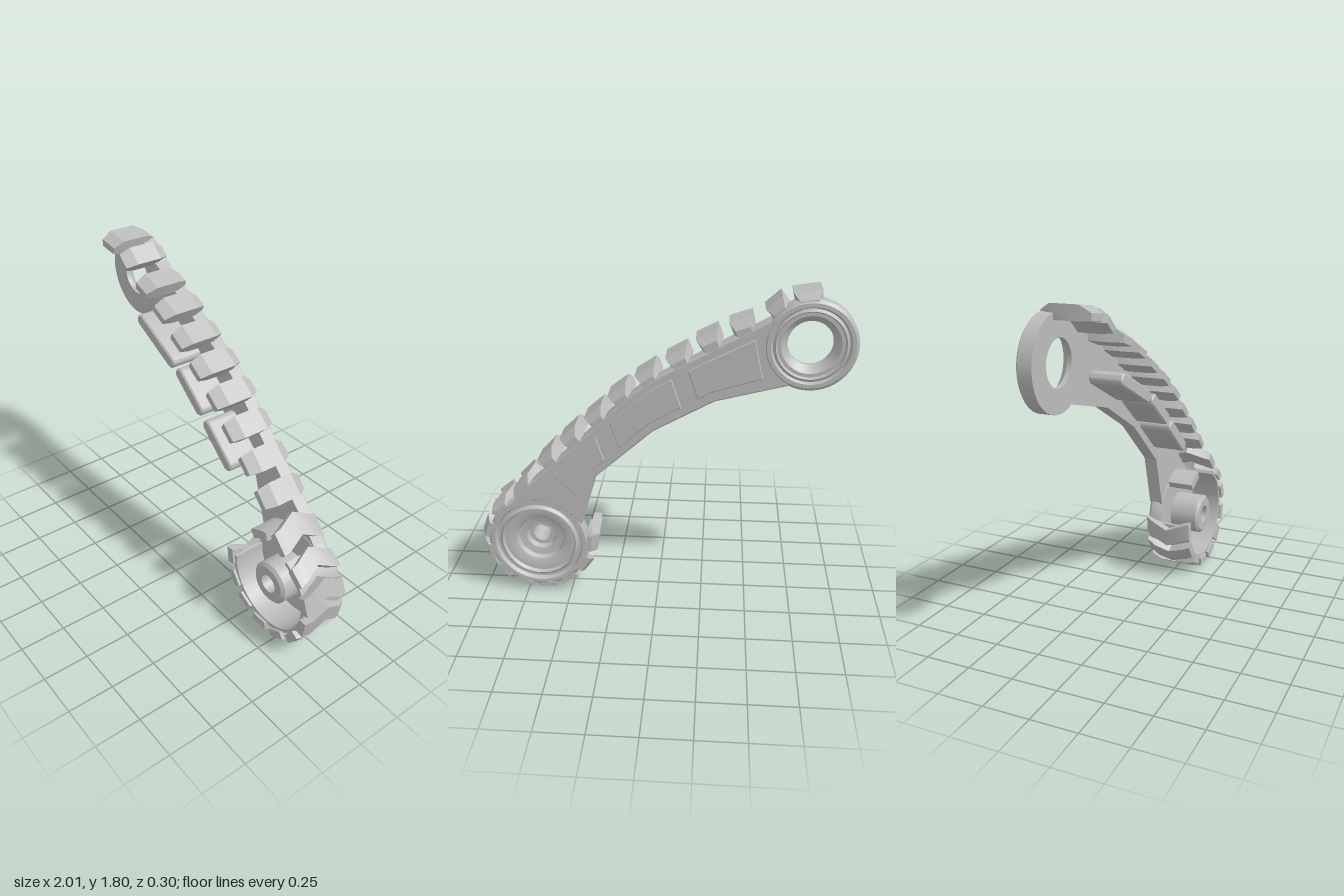
import * as THREE from 'three';
import { toCreasedNormals } from 'three/addons/utils/BufferGeometryUtils.js';

const grey = new THREE.MeshStandardMaterial({ color: 0xbcbcbc });
grey.name = 'grey';
const rad = THREE.MathUtils.degToRad;
const V = (x, y) => new THREE.Vector2(x, y);

function part(parent, name, geo, x = 0, y = 0, z = 0, turn = 0) {
  const mesh = new THREE.Mesh(toCreasedNormals(geo, 0.5), grey);
  mesh.name = name;
  mesh.position.set(x, y, z);
  mesh.rotation.z = turn;
  parent.add(mesh);
  return mesh;
}

function slab(shape, depth, bevel = 0) {
  return new THREE.ExtrudeGeometry(shape, {
    depth: depth - 2 * bevel, curveSegments: 24, bevelEnabled: bevel > 0,
    bevelSize: bevel, bevelThickness: bevel, bevelOffset: -bevel, bevelSegments: 1,
  }).translate(0, 0, bevel);
}

// closed (radius, z) profile turned about the z axis
function turned(profile) {
  const pts = [...profile, profile[0]].map(([r, z]) => V(r, z));
  return new THREE.LatheGeometry(pts, 56).rotateX(Math.PI / 2);
}

// block lofted along z; station = [z, half length, shift along length, bottom, top]
function loft(stations) {
  const rings = stations.map(([z, h, s, r0, r1]) =>
    [[s - h * 0.9, r0, z], [s + h * 0.9, r0, z], [s + h, r1, z], [s - h, r1, z]]);
  const pos = [];
  const quad = (a, b, c, d) => pos.push(...a, ...b, ...c, ...a, ...c, ...d);
  for (let i = 0; i < rings.length - 1; i++) {
    for (let j = 0; j < 4; j++) {
      const k = (j + 1) % 4;
      quad(rings[i][j], rings[i][k], rings[i + 1][k], rings[i + 1][j]);
    }
  }
  const first = rings[0], last = rings[rings.length - 1];
  quad(last[0], last[1], last[2], last[3]);
  quad(first[3], first[2], first[1], first[0]);
  const geo = new THREE.BufferGeometry();
  geo.setAttribute('position', new THREE.Float32BufferAttribute(pos, 3));
  geo.computeVertexNormals();
  return geo;
}

const straightTread = () => loft([
  [-0.138, 0.04, 0, -0.04, 0.0], [-0.078, 0.062, 0, -0.04, 0.033],
  [0.068, 0.062, 0, -0.04, 0.033], [0.126, 0.052, 0, -0.036, 0.0],
]);

const chevronTread = (h) => loft([
  [-0.135, h, 0.035, -0.028, 0.0], [-0.08, h, 0.018, -0.028, 0.027],
  [0, h, -0.025, -0.028, 0.027], [0.1, h, 0.022, -0.028, 0.027],
  [0.14, h, 0.035, -0.028, 0.015],
]);

export function createModel() {
  const root = new THREE.Group();
  root.name = 'treadedArm';
  const arm = new THREE.Group();
  arm.name = 'armAssembly';
  arm.rotation.y = -0.009;
  root.add(arm);
  const wx = 0.67, wy = 0.33;

  // curved arm plate between the ring and the wheel
  const top = new THREE.SplineCurve([
    V(-0.57, 1.66), V(-0.22, 1.465), V(0.1, 1.27), V(0.4, 0.98), V(0.72, 0.68)]);
  const bottom = [V(-0.68, 1.32), V(-0.3, 1.22), V(0.02, 1.04), V(0.33, 0.76), V(0.42, 0.45)];
  const outline = [...top.getPoints(20), V(0.9, 0.46)];
  for (let i = 1; i < 10; i++) {
    const a = rad(29 + i * 12.5);
    outline.push(V(wx + 0.265 * Math.cos(a), wy + 0.265 * Math.sin(a)));
  }
  outline.push(...[...bottom].reverse(), V(-0.56, 1.5));
  part(arm, 'armPlate', slab(new THREE.Shape(outline), 0.06), 0, 0, -0.12);

  // back frame with three recessed panels
  const low = (t) => {
    const i = Math.min(3, Math.floor(t * 4));
    return bottom[i].clone().lerp(bottom[i + 1], t * 4 - i);
  };
  const across = (t, k) => top.getPoint(t).lerp(low(t), k);
  const frame = new THREE.Shape(outline);
  const panels = [[0.07, 0.32], [0.36, 0.65], [0.69, 0.91]];
  const panelPath = (t0, t1, k0, k1) => {
    const pts = [];
    for (let i = 0; i <= 4; i++) pts.push(across(t0 + (t1 - t0) * i / 4, k0));
    for (let i = 4; i >= 0; i--) pts.push(across(t0 + (t1 - t0) * i / 4, k1));
    return pts;
  };
  for (const [t0, t1] of panels) frame.holes.push(new THREE.Path(panelPath(t0, t1, 0.13, 0.87)));
  part(arm, 'backFrame', slab(frame, 0.03, 0.008), 0, 0, -0.14);
  for (const [t0, t1] of panels) {
    part(arm, 'backPanel', slab(new THREE.Shape(panelPath(t0 + 0.012, t1 - 0.012, 0.18, 0.82)), 0.02, 0.005),
      0, 0, -0.126);
  }

  // pivot ring at the upper end
  part(arm, 'pivotRing', turned([
    [0.22, -0.145], [0.235, -0.132], [0.235, -0.059], [0.115, -0.059], [0.115, -0.085],
    [0.15, -0.122], [0.168, -0.122], [0.176, -0.137], [0.19, -0.128], [0.2, -0.145],
  ]), -0.77, 1.53);

  // three long rounded bosses on the front
  for (const [x0, y0, x1, y1] of [
    [-0.46, 1.408, -0.19, 1.272], [-0.105, 1.232, 0.06, 1.098], [0.135, 1.03, 0.305, 0.882]]) {
    const half = Math.hypot(x1 - x0, y1 - y0) / 2;
    const boss = new THREE.Shape();
    boss.absarc(half, 0, 0.034, -Math.PI / 2, Math.PI / 2);
    boss.absarc(-half, 0, 0.034, Math.PI / 2, Math.PI * 1.5);
    part(arm, 'frontBoss', slab(boss, 0.185, 0.008), (x0 + x1) / 2, (y0 + y1) / 2, -0.063,
      Math.atan2(y1 - y0, x1 - x0));
  }

  // wheel disc with stepped back and central hub
  part(arm, 'wheelDisc', turned([
    [0.27, -0.137], [0.287, -0.12], [0.287, -0.085], [0.275, -0.057], [0.118, -0.057],
    [0.118, 0.105], [0.1, 0.12], [0.052, 0.12], [0.052, -0.03], [0.075, -0.03],
    [0.085, -0.06], [0.125, -0.068], [0.135, -0.095], [0.17, -0.108], [0.2, -0.108],
    [0.21, -0.128], [0.225, -0.113], [0.24, -0.113], [0.25, -0.137],
  ]), wx, wy);

  // open drum wall
  const wall = new THREE.Shape();
  wall.absarc(0, 0, 0.278, rad(-182), rad(62), false);
  wall.absarc(0, 0, 0.257, rad(62), rad(-182), true);
  part(arm, 'drumWall', slab(wall, 0.195), wx, wy, -0.07);

  // chevron treads around the wheel
  for (const deg of [50, 20, -9, -37, -64, -91, -118, -145, -173]) {
    const a = rad(deg);
    part(arm, 'wheelTread', chevronTread(0.051),
      wx + 0.298 * Math.cos(a), wy + 0.298 * Math.sin(a), 0, a - Math.PI / 2);
  }
  part(arm, 'upperWheelTread', chevronTread(0.062), 0.73, 0.685, 0, rad(-47));

  // short curved piece on the open side of the drum
  const lip = new THREE.Shape();
  lip.absarc(0, 0, 0.3, rad(101), rad(126), false);
  lip.absarc(0, 0, 0.25, rad(126), rad(101), true);
  part(arm, 'drumLip', slab(lip, 0.15), wx, wy, -0.05);

  // straight treads along the outer edge
  for (const [x, y, deg, s] of [
    [-0.745, 1.76, -8, 1.15], [-0.6, 1.705, -42, 0.85], [-0.43, 1.61, -19, 1], [-0.265, 1.53, -27, 1],
    [-0.11, 1.43, -30, 1], [0.05, 1.33, -34, 1], [0.195, 1.22, -38, 1],
    [0.325, 1.095, -41, 1], [0.465, 0.97, -44, 1], [0.595, 0.84, -47, 1]]) {
    part(arm, 'armTread', straightTread(), x, y, 0, rad(deg)).scale.x = s;
  }
  return root;
}
